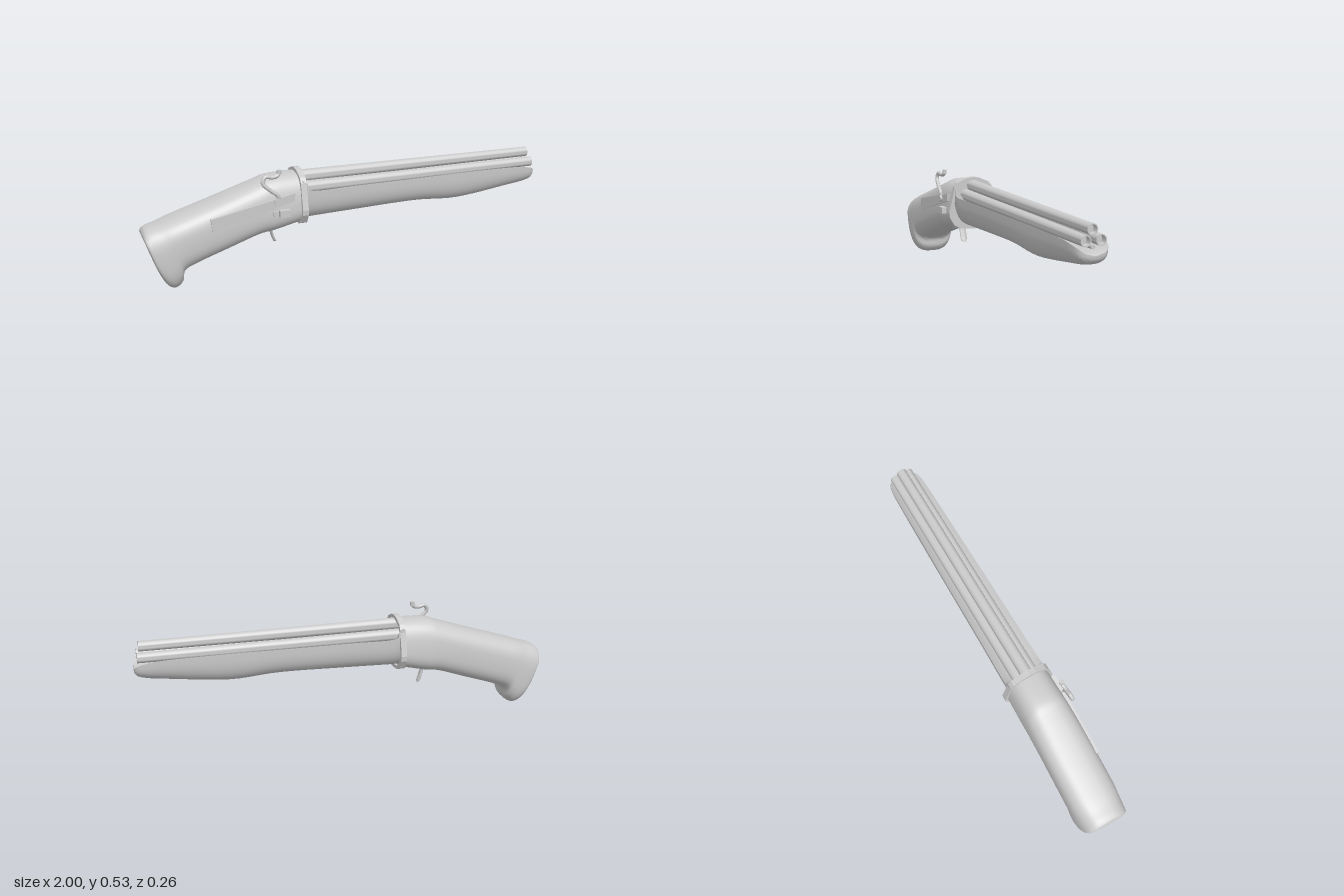
import * as THREE from 'three';
import { toCreasedNormals } from 'three/addons/utils/BufferGeometryUtils.js';

const Z0 = -0.005; // lengthwise mid-plane
const mat = new THREE.MeshStandardMaterial({ color: 0xcccccc });
const matDouble = new THREE.MeshStandardMaterial({ color: 0xcccccc, side: THREE.DoubleSide });

// Signed power, for rounded-rectangle sections
const sp = (v, e) => Math.sign(v) * Math.pow(Math.abs(v), e);

// Skin a list of equal-length rings running towards -x, with both ends capped
function loft(rings) {
  const n = rings[0].length, pos = rings.flat(2), idx = [];
  for (let i = 0; i < rings.length - 1; i++) {
    for (let j = 0; j < n; j++) {
      const k = (j + 1) % n, a = i * n + j, b = i * n + k;
      idx.push(a, b, a + n, b, b + n, a + n);
    }
  }
  [0, rings.length - 1].forEach((r, end) => {
    const c = pos.length / 3;
    for (let d = 0; d < 3; d++) pos.push(rings[r].reduce((s, p) => s + p[d], 0) / n);
    for (let j = 0; j < n; j++) {
      const a = r * n + j, b = r * n + (j + 1) % n;
      idx.push(c, end ? a : b, end ? b : a);
    }
  });
  const g = new THREE.BufferGeometry();
  g.setAttribute('position', new THREE.Float32BufferAttribute(pos, 3));
  g.setIndex(idx);
  return toCreasedNormals(g, 0.7);
}

// Smoothly resample a table of section values
function resample(rows, steps) {
  const cols = rows[0].length, out = [];
  const curves = [];
  for (let c = 0; c < cols; c++) {
    curves.push(new THREE.SplineCurve(rows.map((r, i) => new THREE.Vector2(i, r[c]))));
  }
  for (let i = 0; i <= steps; i++) out.push(curves.map((k) => k.getPoint(i / steps).y));
  return out;
}

function stockGeometry() {
  // top x, top y, bottom x, bottom y, half width, narrowing towards the top
  const rows = [
    [-0.26, 0.487, -0.26, 0.255, 0.107, 0.14],
    [-0.40, 0.482, -0.39, 0.225, 0.111, 0.1],
    [-0.47, 0.46, -0.47, 0.212, 0.113, 0.05],
    [-0.63, 0.408, -0.61, 0.165, 0.116, 0],
    [-0.80, 0.355, -0.76, 0.115, 0.118, 0],
    [-0.88, 0.33, -0.82, 0.085, 0.118, 0],
    [-0.93, 0.313, -0.83, 0.035, 0.117, 0],
    [-0.97, 0.302, -0.862, 0.005, 0.115, 0],
    [-0.99, 0.292, -0.90, 0.02, 0.112, 0],
    [-0.998, 0.28, -0.935, 0.08, 0.108, 0],
    [-1, 0.268, -0.955, 0.14, 0.1, 0],
  ];
  return loft(resample(rows, 50).map(([tx, ty, bx, by, w, taper]) => {
    const ring = [];
    for (let j = 0; j < 40; j++) {
      const a = (j / 40) * Math.PI * 2;
      const s = sp(Math.sin(a), 0.68), c = sp(Math.cos(a), 0.68), t = (s + 1) / 2;
      ring.push([bx + (tx - bx) * t, by + (ty - by) * t, Z0 + w * c * (1 - taper * s)]);
    }
    return ring;
  }));
}

function foreEndGeometry() {
  // x, ridge y, bottom y, groove y, half width
  const rows = [
    [1, 0.364, 0.336, 0.353, 0.045],
    [0.985, 0.379, 0.32, 0.359, 0.065],
    [0.95, 0.393, 0.309, 0.363, 0.078],
    [0.86, 0.405, 0.296, 0.365, 0.084],
    [0.57, 0.41, 0.263, 0.367, 0.088],
    [0.33, 0.41, 0.276, 0.368, 0.092],
    [0, 0.411, 0.269, 0.37, 0.096],
    [-0.215, 0.412, 0.263, 0.37, 0.1],
    [-0.24, 0.45, 0.262, 0.375, 0.101],
    [-0.265, 0.465, 0.262, 0.38, 0.101],
  ];
  return loft(resample(rows, 45).map(([x, yr, yb, yc, w]) => {
    const ring = [];
    for (let j = 0; j < 40; j++) {
      const a = (j / 40) * Math.PI * 2, s = Math.sin(a);
      const c = s > 1e-6 ? Math.cos(a) : sp(Math.cos(a), 0.75);
      const y = s > 1e-6 ? yc + (yr - yc) * c * c : yr + (yr - yb) * sp(s, 0.75);
      ring.push([x, y, Z0 + w * c]);
    }
    return ring;
  }));
}

// Barrel with a recessed bore, turned about x
function barrelGeometry(length, r0, r1) {
  const pts = [[0, 0], [r0, 0], [r1, length], [r1 * 0.8, length], [r1 * 0.8, length - 0.03], [0, length - 0.03]];
  const g = new THREE.LatheGeometry(pts.map((p) => new THREE.Vector2(...p)), 24);
  return toCreasedNormals(g.rotateZ(-Math.PI / 2), 0.7);
}

const vec = (p) => new THREE.Vector3(...p);

export function createModel() {
  const model = new THREE.Group();
  const add = (name, geometry, x = 0, y = 0, z = 0, material = mat) => {
    const m = new THREE.Mesh(geometry, material);
    m.name = name;
    m.position.set(x, y, z);
    model.add(m);
    return m;
  };

  add('stock', stockGeometry());
  add('foreEnd', foreEndGeometry());

  // Three barrels and the thin rod between them
  add('topBarrel', barrelGeometry(1.235, 0.029, 0.024), -0.26, 0.461, Z0, matDouble).rotation.z = -0.005;
  for (const side of [-1, 1]) {
    add('lowerBarrel', barrelGeometry(1.245, 0.029, 0.024), -0.26, 0.415, Z0 + side * 0.035, matDouble).rotation.z = -0.003;
  }
  add('rod', new THREE.CylinderGeometry(0.01, 0.01, 1.24, 12).rotateZ(Math.PI / 2), 0.36, 0.385, Z0);

  // Band around the joint
  const half = [[0, 0.505], [0.035, 0.5], [0.085, 0.478], [0.1, 0.455], [0.128, 0.33], [0.126, 0.305], [0.1, 0.262], [0.06, 0.246], [0, 0.24]];
  const outline = [...half, ...half.slice(1, -1).reverse().map(([z, y]) => [-z, y])];
  const band = new THREE.Shape(outline.map(([z, y]) => new THREE.Vector2(z, y)));
  band.holes.push(new THREE.Path(outline.map(([z, y]) => new THREE.Vector2(z * 0.86, 0.372 + (y - 0.372) * 0.87))));
  const bandGeo = new THREE.ExtrudeGeometry(band, { depth: 0.028, bevelEnabled: false });
  add('band', bandGeo.rotateY(-Math.PI / 2), -0.245, 0, Z0 + 0.002);

  // Lock plate and small block on the left side of the stock
  const plate = new THREE.Shape([[-0.705, 0.337], [-0.7, 0.273], [-0.31, 0.38], [-0.305, 0.417]].map((p) => new THREE.Vector2(...p)));
  add('lockPlate', new THREE.ExtrudeGeometry(plate, { depth: 0.03, bevelEnabled: false }), 0, 0, 0.085);
  add('lockBlock', new THREE.BoxGeometry(0.05, 0.032, 0.04), -0.36, 0.328, 0.112);
  add('lockPin', new THREE.BoxGeometry(0.022, 0.022, 0.03), -0.4, 0.328, 0.104);

  // Curved cock with its pivot and tip
  const cock = new THREE.CatmullRomCurve3([
    [-0.39, 0.385, 0.115], [-0.39, 0.415, 0.118], [-0.425, 0.445, 0.116], [-0.458, 0.48, 0.111],
    [-0.445, 0.507, 0.107], [-0.41, 0.502, 0.105], [-0.385, 0.508, 0.102], [-0.375, 0.523, 0.1],
  ].map(vec));
  add('cock', new THREE.TubeGeometry(cock, 48, 0.0095, 10));
  add('cockPivot', new THREE.CylinderGeometry(0.018, 0.018, 0.026, 16).rotateX(Math.PI / 2), -0.39, 0.385, 0.113);
  add('cockTip', new THREE.CylinderGeometry(0.011, 0.011, 0.02, 12), -0.377, 0.522, 0.1);

  // Trigger: flat curved blade, flared at the root
  const trigger = resample([
    [-0.395, 0.245, 0.038], [-0.397, 0.222, 0.022], [-0.39, 0.195, 0.018],
    [-0.382, 0.168, 0.018], [-0.376, 0.154, 0.013], [-0.374, 0.15, 0.004],
  ], 20).map(([x, y, w]) => {
    const ring = [];
    for (let j = 0; j < 16; j++) {
      const a = (j / 16) * Math.PI * 2;
      ring.push([x + 0.007 * Math.sin(a), y, Z0 + w * Math.cos(a)]);
    }
    return ring;
  });
  add('trigger', loft(trigger), 0, 0, 0, matDouble);
  add('triggerPlate', new THREE.BoxGeometry(0.11, 0.02, 0.05), -0.44, 0.224, Z0).rotation.z = 0.14;

  return model;
}
